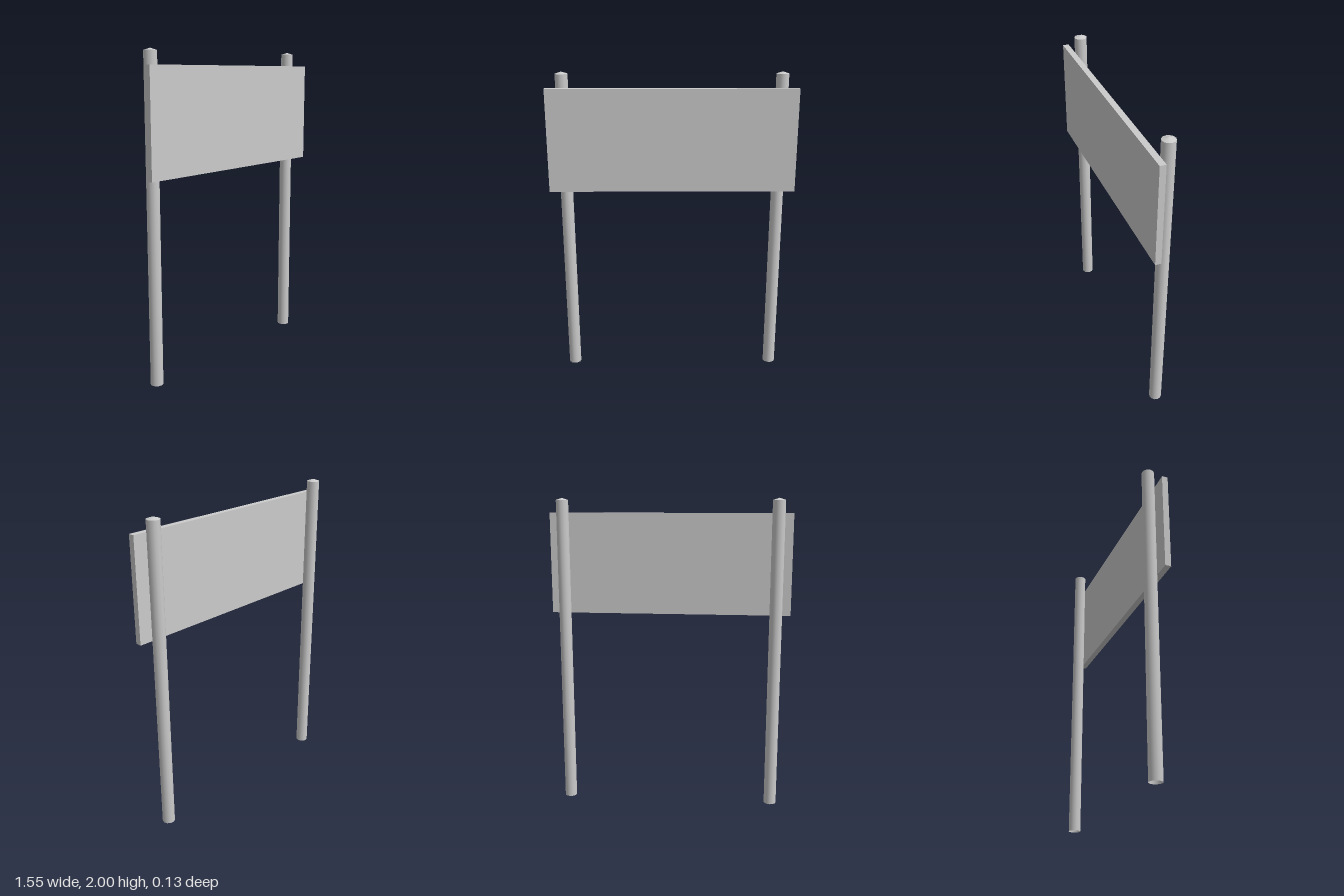
import * as THREE from 'three';

export function createModel() {
  const group = new THREE.Group();
  group.name = 'signboard';
  const grey = new THREE.MeshStandardMaterial({ color: 0xcccccc });
  const tubeGrey = new THREE.MeshStandardMaterial({ color: 0xcccccc, side: THREE.DoubleSide });
  const capGrey = new THREE.MeshStandardMaterial({ color: 0xcccccc, side: THREE.DoubleSide, flatShading: true });

  const radius = 0.04, sides = 12, shaftHeight = 1.987, capHeight = 0.013;

  // Two round posts, open underneath, each with a shallow pointed cap
  const shaftGeometry = new THREE.CylinderGeometry(radius, radius, shaftHeight, sides, 1, true);
  const capGeometry = new THREE.ConeGeometry(radius, capHeight, sides, 1, true);
  for (const [name, side] of [['leftPost', 1], ['rightPost', -1]]) {
    const post = new THREE.Group();
    post.name = name;
    post.position.set(side * 0.68, 0, -0.025);

    const shaft = new THREE.Mesh(shaftGeometry, tubeGrey);
    shaft.name = 'shaft';
    shaft.position.y = shaftHeight / 2;

    const cap = new THREE.Mesh(capGeometry, capGrey);
    cap.name = 'cap';
    cap.position.y = shaftHeight + capHeight / 2;

    post.add(shaft, cap);
    group.add(post);
  }

  // Flat board standing just in front of the posts
  const board = new THREE.Mesh(new THREE.BoxGeometry(1.554, 0.646, 0.038), grey);
  board.name = 'board';
  board.position.set(0, 1.584, 0.046);
  group.add(board);

  return group;
}
